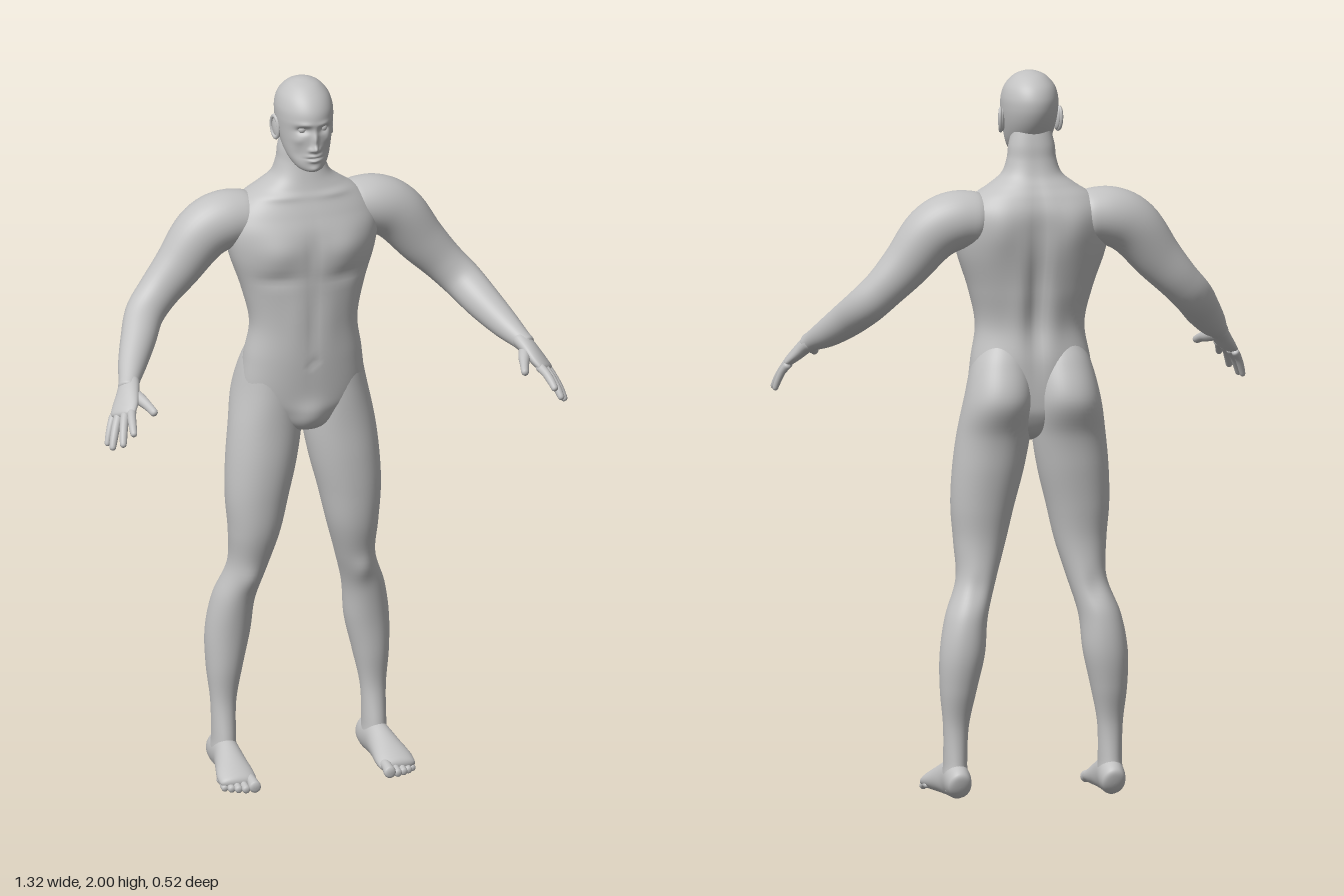
import * as THREE from 'three';

const skin = new THREE.MeshStandardMaterial({ color: 0xc2c2c2 });
skin.name = 'plain grey';

// Smooth interpolation through rows of numbers, t from 0 to 1
function sample(rows, t) {
  const n = rows.length - 1, f = Math.min(t * n, n - 1e-6), i = Math.floor(f), u = f - i;
  const b = rows[i], c = rows[i + 1], a = rows[Math.max(i - 1, 0)], d = rows[Math.min(i + 2, n)];
  return b.map((_, k) => b[k] + 0.5 * u * (c[k] - a[k] + u * (2 * a[k] - 5 * b[k] + 4 * c[k] - d[k]
    + u * (3 * (b[k] - c[k]) + d[k] - a[k]))));
}

// Closed rings of points joined into a smooth skin
function skinRings(rings, segs, point) {
  const pos = [], idx = [];
  for (let r = 0; r <= rings; r++) {
    for (let s = 0; s < segs; s++) {
      pos.push(...point(r / rings, (s / segs) * Math.PI * 2));
      if (r === rings) continue;
      const a = r * segs + s, c = r * segs + (s + 1) % segs;
      idx.push(a, a + segs, c, c, a + segs, c + segs);
    }
  }
  const g = new THREE.BufferGeometry();
  g.setAttribute('position', new THREE.Float32BufferAttribute(pos, 3));
  g.setIndex(idx);
  g.computeVertexNormals();
  return g;
}

// Upright form, rows: [y, xMin, xMax, zBack, zFront]
// bumps: [x, y, spreadX, spreadY, height, side] raise or sink the front (1) or back (-1)
function column(rows, rings, segs, power = 1, bumps = []) {
  const shape = v => Math.sign(v) * Math.abs(v) ** power;
  return skinRings(rings, segs, (t, a) => {
    const [y, x0, x1, z0, z1] = sample(rows, t);
    const x = (x0 + x1) / 2 + Math.max(0, x1 - x0) / 2 * shape(Math.cos(a));
    let z = (z0 + z1) / 2 + Math.max(0, z1 - z0) / 2 * shape(Math.sin(a));
    for (const [bx, by, sx, sy, h, side] of bumps) {
      const w = Math.max(0, side * Math.sin(a));
      z += side * h * Math.min(1, w * 1.5) * Math.exp(-(((x - bx) / sx) ** 2) - ((y - by) / sy) ** 2);
    }
    return [x, y, z];
  });
}

// Round-ended form along a path, rows: [x, y, z, thickness radius, width radius];
// wide is the direction of the width
function limb(rows, wide, rings, segs, cap) {
  const W = new THREE.Vector3(...wide);
  return skinRings(rings, segs, (s, a) => {
    const t = 0.5 - 0.5 * Math.cos(Math.PI * s);
    const p = sample(rows, t), q0 = sample(rows, Math.max(0, t - 0.02)), q1 = sample(rows, Math.min(1, t + 0.02));
    const T = new THREE.Vector3(q1[0] - q0[0], q1[1] - q0[1], q1[2] - q0[2]).normalize();
    const U = T.clone().cross(W).normalize(), V = U.clone().cross(T);
    const e = Math.max(0, 1 - Math.min(t, 1 - t) / cap), f = Math.sqrt(Math.max(0, 1 - e * e));
    return new THREE.Vector3(p[0], p[1], p[2])
      .addScaledVector(U, p[3] * f * Math.cos(a)).addScaledVector(V, p[4] * f * Math.sin(a)).toArray();
  });
}

function mirrored(geometry) {
  const g = geometry.clone();
  g.scale(-1, 1, 1);
  const i = g.index.array;
  for (let k = 0; k < i.length; k += 3) [i[k + 1], i[k + 2]] = [i[k + 2], i[k + 1]];
  g.computeVertexNormals();
  return g;
}

const both = list => list.flatMap(([x, ...rest]) => [[x, ...rest], [-x, ...rest]]);
const even = rows => rows.map(([y, w, z0, z1]) => [y, -w, w, z0, z1]);

export function createModel() {
  const model = new THREE.Group();
  model.name = 'standingFigure';
  const add = (name, g) => {
    const m = new THREE.Mesh(g, skin);
    m.name = name;
    model.add(m);
  };
  const pair = (name, g) => {
    add('left' + name, g);
    add('right' + name, mirrored(g));
  };

  // Torso and neck
  add('torso', column(even([
    [0.978, 0, -0.12, -0.12], [1.0, 0.06, -0.18, -0.055], [1.05, 0.13, -0.213, -0.036],
    [1.1, 0.172, -0.222, -0.03], [1.2, 0.166, -0.222, -0.022], [1.3, 0.151, -0.208, -0.02],
    [1.4, 0.172, -0.225, -0.018], [1.5, 0.205, -0.245, -0.014], [1.57, 0.215, -0.252, -0.02],
    [1.62, 0.2, -0.252, -0.036], [1.66, 0.165, -0.24, -0.052], [1.69, 0.12, -0.224, -0.064],
    [1.72, 0.083, -0.207, -0.074], [1.76, 0.068, -0.195, -0.085], [1.8, 0.063, -0.19, -0.09],
    [1.85, 0.05, -0.18, -0.1]]), 110, 80, 0.88, [
    ...both([
      [0.095, 1.525, 0.06, 0.05, 0.012, 1],    // chest
      [0.1, 1.445, 0.06, 0.018, -0.006, 1],    // fold under chest
      [0.045, 1.33, 0.03, 0.1, 0.003, 1],      // abdomen
      [0.08, 1.672, 0.06, 0.01, 0.004, 1],     // collar bone
      [0.105, 1.58, 0.05, 0.07, 0.012, -1],    // shoulder blade
      [0.05, 1.32, 0.03, 0.1, 0.006, -1]]),    // lower back
    [0, 1.52, 0.016, 0.06, -0.005, 1], [0, 1.32, 0.01, 0.12, -0.004, 1],
    [0, 1.2, 0.007, 0.008, -0.006, 1], [0, 1.04, 0.04, 0.04, 0.012, 1],
    [0, 1.42, 0.022, 0.2, -0.018, -1]]));

  // Head with modelled face
  add('head', column(even([
    [1.752, 0, -0.045, -0.04], [1.757, 0.024, -0.075, -0.018], [1.767, 0.04, -0.1, -0.011],
    [1.787, 0.054, -0.135, -0.008], [1.81, 0.063, -0.165, -0.008], [1.84, 0.07, -0.19, -0.008],
    [1.87, 0.075, -0.207, -0.007], [1.9, 0.078, -0.216, -0.004], [1.93, 0.077, -0.215, -0.01],
    [1.96, 0.067, -0.2, -0.03], [1.985, 0.045, -0.17, -0.061], [1.997, 0.02, -0.137, -0.093],
    [2.0, 0, -0.115, -0.115]]), 110, 110, 1, [
    ...both([
      [0.03, 1.878, 0.016, 0.01, -0.013, 1],   // eye socket
      [0.028, 1.896, 0.02, 0.007, 0.004, 1],   // brow
      [0.044, 1.85, 0.014, 0.014, 0.005, 1],   // cheekbone
      [0.04, 1.808, 0.014, 0.02, -0.004, 1],   // hollow cheek
      [0.012, 1.823, 0.006, 0.006, 0.007, 1]]),// nostril
    [0, 1.826, 0.009, 0.011, 0.016, 1], [0, 1.852, 0.008, 0.022, 0.012, 1],
    [0, 1.805, 0.018, 0.005, 0.007, 1], [0, 1.791, 0.015, 0.005, 0.007, 1],
    [0, 1.798, 0.02, 0.002, -0.004, 1], [0, 1.766, 0.016, 0.009, 0.005, 1]]));

  const eye = new THREE.SphereGeometry(0.012, 20, 14);
  eye.translate(0.03, 1.879, -0.032);
  pair('Eye', eye);

  // Ears: flat shell and rim
  const shell = new THREE.SphereGeometry(1, 20, 14);
  shell.scale(0.008, 0.032, 0.018);
  const rim = new THREE.TorusGeometry(0.024, 0.005, 8, 28);
  rim.rotateY(Math.PI / 2);
  rim.scale(1, 1.25, 0.72);
  for (const [name, g] of [['Ear', shell], ['EarRim', rim]]) {
    g.rotateX(-0.15);
    g.rotateY(-0.3);
    g.translate(name === 'Ear' ? 0.076 : 0.081, 1.864, -0.115);
    pair(name, g);
  }

  // Arms
  pair('Arm', limb([
    [0.12, 1.595, -0.155, 0.07, 0.075], [0.21, 1.597, -0.155, 0.081, 0.082],
    [0.28, 1.563, -0.153, 0.08, 0.076], [0.35, 1.478, -0.147, 0.068, 0.061],
    [0.41, 1.412, -0.138, 0.058, 0.053], [0.457, 1.362, -0.113, 0.055, 0.05],
    [0.495, 1.315, -0.05, 0.05, 0.046], [0.535, 1.27, 0.02, 0.04, 0.038],
    [0.564, 1.241, 0.08, 0.028, 0.029], [0.577, 1.227, 0.105, 0.026, 0.029]], [0, 0, 1], 70, 40, 0.06));

  // Hands
  const across = [0.047, -0.025, -0.05];
  pair('Palm', limb([
    [0.558, 1.247, 0.068, 0.025, 0.029], [0.575, 1.226, 0.108, 0.022, 0.034],
    [0.595, 1.197, 0.143, 0.018, 0.042], [0.613, 1.174, 0.168, 0.013, 0.04]], across, 24, 28, 0.15));
  pair('Thumb', limb([
    [0.572, 1.225, 0.095, 0.018, 0.018], [0.553, 1.213, 0.143, 0.017, 0.017],
    [0.541, 1.203, 0.18, 0.012, 0.013], [0.531, 1.19, 0.217, 0.01, 0.011]], across, 20, 16, 0.12));
  [['IndexFinger', [0.585, 1.192, 0.168], [0.606, 1.148, 0.257]],
    ['MiddleFinger', [0.601, 1.184, 0.164], [0.631, 1.112, 0.237]],
    ['RingFinger', [0.614, 1.175, 0.148], [0.651, 1.094, 0.202]],
    ['LittleFinger', [0.623, 1.17, 0.128], [0.654, 1.094, 0.164]]].forEach(([name, k, e], i) => {
    const r = i === 3 ? 0.0105 : 0.0125;
    const at = (f, bend, s) => [k[0] + (e[0] - k[0]) * f + bend * 0.5, k[1] + (e[1] - k[1]) * f + bend,
      k[2] + (e[2] - k[2]) * f + bend * 0.5, r * s, r * s];
    pair(name, limb([at(0, 0, 1.1), at(0.35, 0.005, 0.95), at(0.7, 0.004, 0.88), at(1, 0, 0.7)], across, 20, 16, 0.12));
  });

  // Legs, with buttocks at the top
  pair('Leg', column([
    [0.02, 0.188, 0.245, -0.205, -0.12], [0.06, 0.183, 0.25, -0.212, -0.1], [0.1, 0.184, 0.248, -0.203, -0.105],
    [0.2, 0.18, 0.25, -0.2, -0.12], [0.3, 0.16, 0.26, -0.222, -0.112], [0.4, 0.138, 0.261, -0.236, -0.105],
    [0.5, 0.128, 0.244, -0.228, -0.09], [0.6, 0.1, 0.209, -0.2, -0.067], [0.7, 0.07, 0.212, -0.19, -0.042],
    [0.8, 0.046, 0.22, -0.2, -0.034], [0.9, 0.021, 0.217, -0.214, -0.033], [1.0, 0.004, 0.206, -0.228, -0.038],
    [1.1, 0, 0.188, -0.262, -0.042], [1.2, 0.008, 0.163, -0.228, -0.05], [1.26, 0.03, 0.13, -0.19, -0.08]],
  100, 48, 0.95, [
    [0.16, 0.565, 0.03, 0.035, 0.008, 1], [0.165, 0.575, 0.025, 0.04, -0.006, -1]]));

  // Feet and toes
  const side = [1, 0, 0];
  pair('Foot', limb([
    [0.215, 0.036, -0.226, 0.033, 0.029], [0.215, 0.049, -0.19, 0.048, 0.036],
    [0.217, 0.052, -0.13, 0.052, 0.036], [0.222, 0.042, -0.07, 0.042, 0.044],
    [0.227, 0.029, -0.01, 0.029, 0.053], [0.229, 0.018, 0.033, 0.017, 0.049]], side, 44, 36, 0.09));
  [['BigToe', 0.194, 0.066, 0.017], ['SecondToe', 0.218, 0.062, 0.0115], ['MiddleToe', 0.237, 0.054, 0.011],
    ['FourthToe', 0.254, 0.044, 0.0105], ['LittleToe', 0.269, 0.03, 0.01]].forEach(([name, x, tip, r]) => {
    pair(name, limb([
      [x, r + 0.008, tip - 0.065, r, r], [x, r + 0.008, tip - 0.035, r * 0.85, r * 0.85],
      [x, r + 0.001, tip - 0.012, r, r], [x, r, tip, r * 0.85, r * 0.85]], side, 18, 16, 0.2));
  });
  return model;
}
